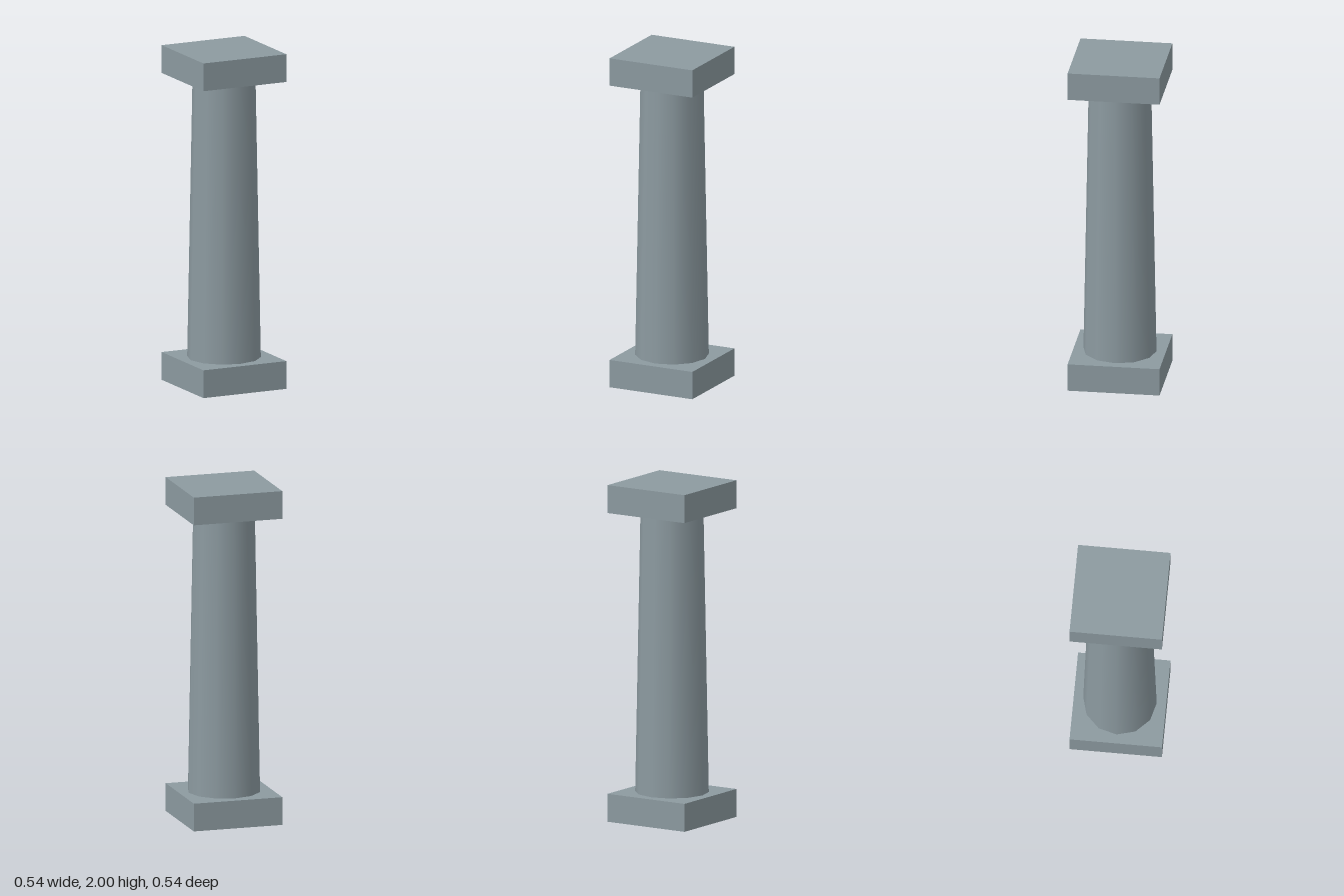
import * as THREE from 'three';

export function createModel() {
  const group = new THREE.Group();
  const material = new THREE.MeshStandardMaterial({ color: 0x8c9aa0 });
  const slabSize = 0.541, slabHeight = 0.166, height = 2;

  const add = (name, geometry, y) => {
    const mesh = new THREE.Mesh(geometry, material);
    mesh.name = name;
    mesh.position.y = y;
    group.add(mesh);
  };

  // Square slabs at the foot and head of the column
  const slab = new THREE.BoxGeometry(slabSize, slabHeight, slabSize);
  add('base', slab, slabHeight / 2);
  add('capital', slab, height - slabHeight / 2);

  // Smooth-shaded, twelve-sided tapering shaft
  add('shaft', new THREE.CylinderGeometry(0.184, 0.215, height - 2 * slabHeight, 12), height / 2);

  return group;
}
